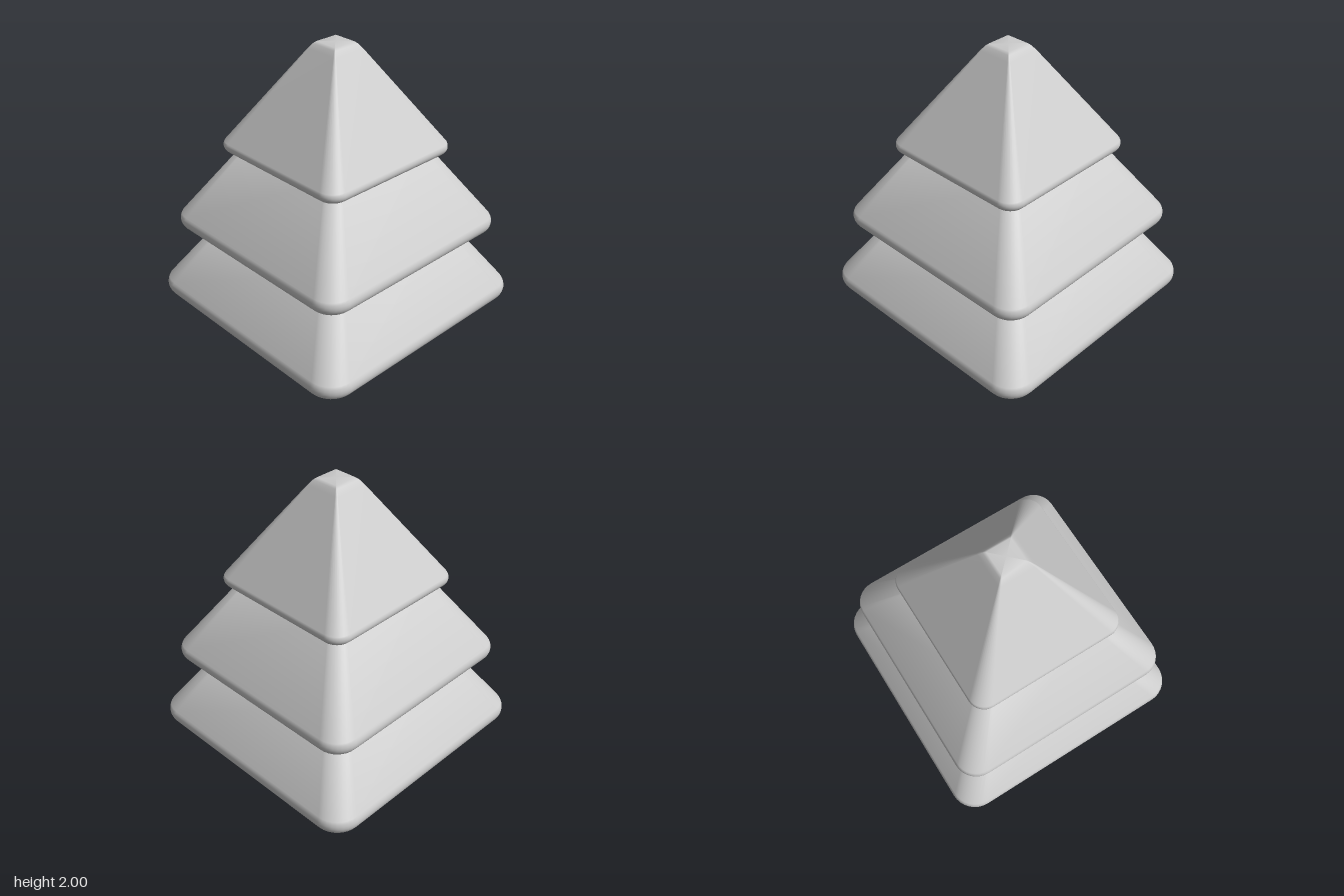
import * as THREE from 'three';

const SLOPE = 0.655; // inward run per unit of height on every tier
const CORNER_STEPS = 8;

// Square ring with rounded corners at height y
function roundedSquare(half, radius, y) {
  const points = [];
  for (let corner = 0; corner < 4; corner++) {
    const mid = (corner + 0.5) * Math.PI / 2;
    const cx = Math.sign(Math.cos(mid)) * (half - radius);
    const cz = Math.sign(Math.sin(mid)) * (half - radius);
    for (let i = 0; i <= CORNER_STEPS; i++) {
      const a = (corner + i / CORNER_STEPS) * Math.PI / 2;
      points.push(cx + radius * Math.cos(a), y, cz + radius * Math.sin(a));
    }
  }
  return points;
}

// Skin stacked rings and close both ends
function loft(rings) {
  const n = rings[0].length / 3;
  const positions = rings.flat();
  const index = [];
  for (let r = 0; r < rings.length - 1; r++) {
    for (let i = 0; i < n; i++) {
      const a = r * n + i, b = r * n + (i + 1) % n;
      index.push(a, a + n, b, b, a + n, b + n);
    }
  }
  const bottom = rings.length * n, top = bottom + 1, last = bottom - n;
  positions.push(0, rings[0][1], 0, 0, rings[rings.length - 1][1], 0);
  for (let i = 0; i < n; i++) {
    const j = (i + 1) % n;
    index.push(bottom, i, j, top, last + j, last + i);
  }
  const geometry = new THREE.BufferGeometry();
  geometry.setAttribute('position', new THREE.Float32BufferAttribute(positions, 3));
  geometry.setIndex(index);
  geometry.computeVertexNormals();
  return geometry;
}

// Sloped tier: flat underside, rounded lower rim, straight taper, optional tip
function tierGeometry({ half, base, rim, corner, taperTop, tip = [] }) {
  const rings = [];
  const end = Math.atan(SLOPE);
  let h, y, radius;
  for (let i = 0; i <= 10; i++) {
    const a = -Math.PI / 2 + (end + Math.PI / 2) * i / 10;
    h = half - rim + rim * Math.cos(a);
    y = base + rim + rim * Math.sin(a);
    radius = corner - (half - h);
    rings.push(roundedSquare(h, radius, y));
  }
  const taperHalf = h - SLOPE * (taperTop - y);
  for (const [x, height] of [[taperHalf, taperTop], ...tip]) {
    rings.push(roundedSquare(x, radius * Math.max(x - 0.08, 0.01) / (h - 0.08), height));
  }
  return loft(rings);
}

export function createModel() {
  const tree = new THREE.Group();
  tree.name = 'tieredTree';
  const material = new THREE.MeshStandardMaterial({ color: 0xcccccc });
  const tiers = [
    { name: 'lowerTier', half: 0.953, base: 0, rim: 0.085, corner: 0.19, taperTop: 0.66 },
    { name: 'middleTier', half: 0.85, base: 0.57, rim: 0.076, corner: 0.17, taperTop: 1.26 },
    { name: 'topTier', half: 0.59, base: 1.19, rim: 0.05, corner: 0.12, taperTop: 1.95,
      tip: [[0.108, 1.985], [0.09, 2]] },
  ];
  for (const tier of tiers) {
    const mesh = new THREE.Mesh(tierGeometry(tier), material);
    mesh.name = tier.name;
    tree.add(mesh);
  }
  return tree;
}
